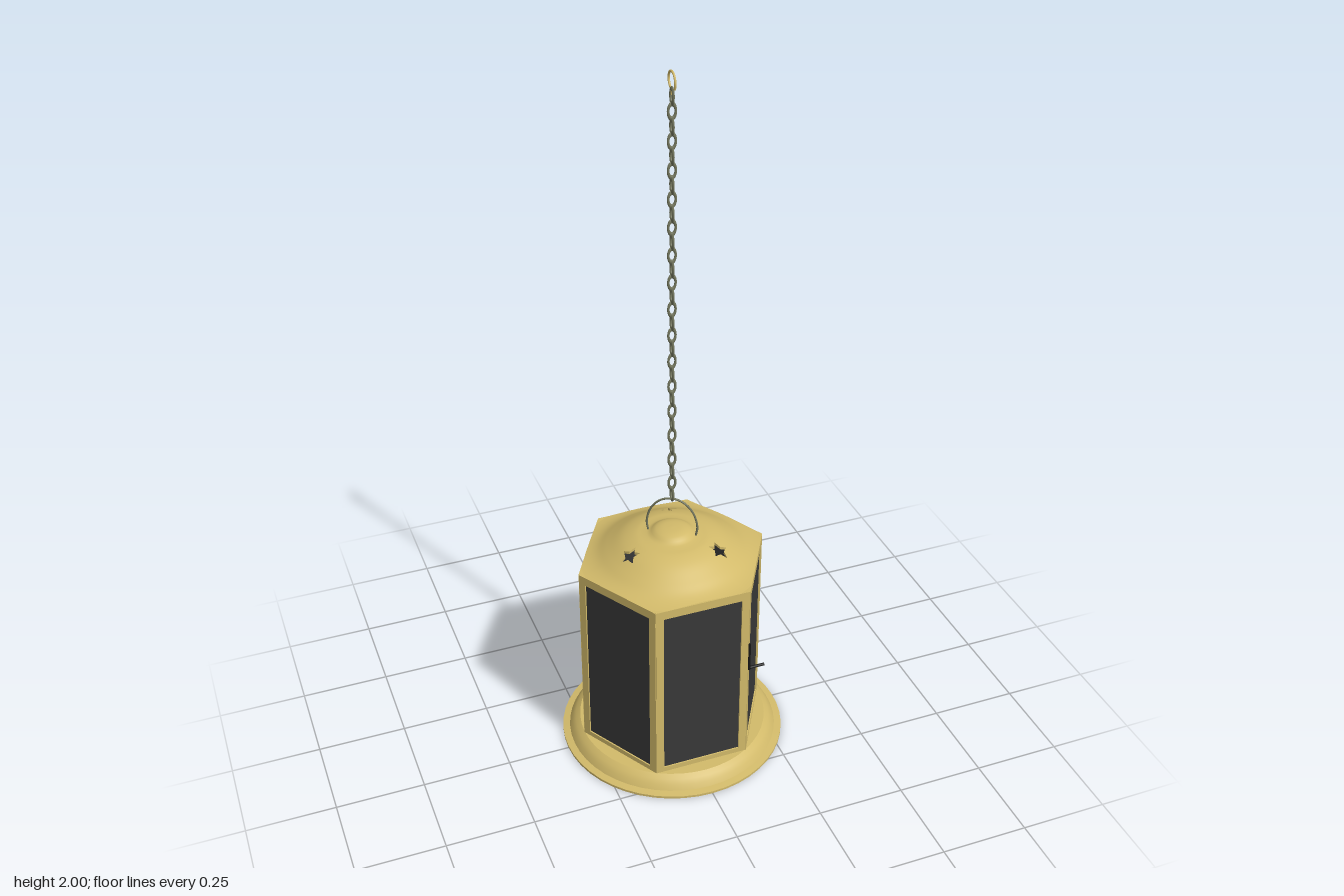
import * as THREE from 'three';
import { mergeGeometries, mergeVertices, toCreasedNormals } from 'three/addons/utils/BufferGeometryUtils.js';

const material = (name, color, side = THREE.FrontSide) => {
  const m = new THREE.MeshStandardMaterial({ color, side });
  m.name = name;
  return m;
};

const V2 = (x, y) => new THREE.Vector2(x, y);
const V3 = (x, y, z) => new THREE.Vector3(x, y, z);
const APOTHEM = 0.236, SIDE = 0.272, WALL_BOTTOM = 0.044, WALL_TOP = 0.612;

// Roof height for a given radius
const roofProfile = new THREE.SplineCurve([
  [0, 0.705], [0.03, 0.703], [0.05, 0.697], [0.062, 0.688], [0.08, 0.684], [0.105, 0.68], [0.14, 0.667],
  [0.18, 0.643], [0.21, 0.625], [0.24, 0.615], [0.275, 0.61],
].map((p) => V2(...p))).getPoints(100);

function roofHeight(r) {
  let i = 1;
  while (i < roofProfile.length - 1 && roofProfile[i].x < r) i++;
  const a = roofProfile[i - 1], b = roofProfile[i];
  return THREE.MathUtils.mapLinear(r, a.x, b.x, a.y, b.y);
}

// Round in the middle, spreading to a hexagon at the eaves
function roofPoint(theta, s, drop = 0) {
  let r = s;
  if (s > 0.18) {
    const sector = Math.PI / 3;
    const local = (((theta % sector) + sector) % sector) - sector / 2;
    r = 0.18 + ((s - 0.18) / 0.092) * (APOTHEM / Math.cos(local) - 0.18);
  }
  return V3(r * Math.cos(theta), roofHeight(r) - drop, r * Math.sin(theta));
}

// A grid over u, v in 0..1, placed by a rule
function patch(nu, nv, rule) {
  const g = new THREE.PlaneGeometry(1, 1, nu, nv);
  const p = g.attributes.position;
  for (let i = 0; i < p.count; i++) {
    const q = rule(p.getX(i) + 0.5, p.getY(i) + 0.5);
    p.setXYZ(i, q.x, q.y, q.z);
  }
  g.deleteAttribute('normal');
  g.deleteAttribute('uv');
  return g;
}

// Walks a closed polygon, u in 0..1
function walk(corners, u) {
  const n = corners.length, t = u * n, i = Math.min(Math.floor(t + 1e-6), n - 1);
  return corners[i].clone().lerp(corners[(i + 1) % n], t - i);
}

function roofGeometry() {
  const band = (t0, t1, s0, s1, nu, nv) => patch(nu, nv, (u, v) => roofPoint(t0 + u * (t1 - t0), s0 + v * (s1 - s0)));
  const parts = [band(0, Math.PI * 2, 0, 0.1, 120, 16), band(0, Math.PI * 2, 0.18, 0.272, 120, 10)];
  const walls = [];
  const half = Math.PI / 12;
  const square = [V2(-half, -0.04), V2(half, -0.04), V2(half, 0.04), V2(-half, 0.04)];
  const star = Array.from({ length: 10 }, (_, k) => {
    const a = -Math.PI * 0.75 + (k * Math.PI) / 5, r = k % 2 ? 0.0135 : 0.028;
    return V2((r * Math.cos(a)) / 0.14, r * Math.sin(a));
  });
  for (const degrees of [45, 165, 285]) {
    const c = THREE.MathUtils.degToRad(degrees);
    parts.push(band(c + half, c + Math.PI * 2 / 3 - half, 0.1, 0.18, 30, 10));
    // Surface around the star cut-out
    parts.push(patch(40, 5, (u, v) => {
      const q = walk(square, u).lerp(walk(star, u), v);
      return roofPoint(c + q.x, 0.14 + q.y);
    }));
    // Thickness of the cut-out edge
    walls.push(patch(40, 1, (u, v) => {
      const q = walk(star, u);
      return roofPoint(c + q.x, 0.14 + q.y, v * 0.008);
    }));
  }
  const shell = mergeVertices(mergeGeometries(parts), 1e-5);
  shell.computeVertexNormals();
  return [shell, toCreasedNormals(mergeGeometries(walls), 0.5)];
}

export function createModel() {
  const brass = material('brass', 0xd2ba6a, THREE.DoubleSide);
  const panelDark = material('dark panel', 0x393939, THREE.DoubleSide);
  const chainMetal = material('chain metal', 0x74775e);
  const black = material('black latch', 0x161616);

  const model = new THREE.Group();
  model.name = 'hangingLantern';
  const add = (name, geometry, mat, parent = model) => {
    const mesh = new THREE.Mesh(geometry, mat);
    mesh.name = name;
    parent.add(mesh);
    return mesh;
  };

  // Base tray, hollow underneath
  const baseProfile = [[0, 0.037], [0.268, 0.037], [0.292, 0.008], [0.3, 0.001], [0.322, 0], [0.322, 0.007],
    [0.302, 0.01], [0.294, 0.024], [0.284, 0.036], [0.271, 0.045], [0, 0.045]].map((p) => V2(...p));
  add('base', toCreasedNormals(new THREE.LatheGeometry(baseProfile, 48), 0.6), brass);
  add('baseScrew', new THREE.CylinderGeometry(0.01, 0.01, 0.008, 6), brass).position.y = 0.034;

  // Six framed walls
  const h = WALL_TOP - WALL_BOTTOM, w = SIDE / 2 - 0.001;
  const frameShape = new THREE.Shape([V2(-w, 0), V2(w, 0), V2(w, h), V2(-w, h)]);
  const px = 0.113, p0 = 0.016, p1 = h - 0.026;
  frameShape.holes.push(new THREE.Path([V2(-px, p0), V2(-px, p1), V2(px, p1), V2(px, p0)]));
  const frameGeo = new THREE.ExtrudeGeometry(frameShape, { depth: 0.012, bevelEnabled: false });
  const panelGeo = new THREE.BoxGeometry(px * 2 + 0.004, p1 - p0 + 0.004, 0.004);
  for (let i = 0; i < 6; i++) {
    const wall = new THREE.Group();
    wall.name = 'wall' + (i + 1);
    wall.rotation.y = (i * Math.PI) / 3;
    add('wallFrame', frameGeo, brass, wall).position.set(0, WALL_BOTTOM, APOTHEM - 0.012);
    add('wallPanel', panelGeo, panelDark, wall).position.set(0, WALL_BOTTOM + (p0 + p1) / 2, APOTHEM - 0.006);
    model.add(wall);
  }

  // Roof with three star cut-outs
  const [shell, starEdges] = roofGeometry();
  add('roof', shell, brass);
  add('starEdges', starEdges, brass);

  // Door latch
  const latch = new THREE.Group();
  latch.name = 'latch';
  add('latchBar', new THREE.BoxGeometry(0.006, 0.09, 0.006), black, latch).position.set(0.138, 0.387, 0.236);
  const handle = add('latchHandle', new THREE.CylinderGeometry(0.004, 0.004, 0.048, 8), black, latch);
  handle.rotation.z = Math.PI / 2;
  handle.position.set(0.161, 0.345, 0.233);
  model.add(latch);

  // Bail handle over the roof
  const bailPath = new THREE.CatmullRomCurve3([[-0.066, 0.68], [-0.071, 0.715], [-0.058, 0.76], [-0.032, 0.788], [0, 0.797],
    [0.032, 0.788], [0.058, 0.76], [0.071, 0.715], [0.066, 0.68]].map(([x, y]) => V3(x, y, 0)));
  add('bailHandle', new THREE.TubeGeometry(bailPath, 48, 0.003, 8), chainMetal).rotation.y = -Math.atan2(0.04, 0.06);

  // Chain of alternating links
  const linkGeo = new THREE.TorusGeometry(0.0098, 0.0034, 8, 20);
  linkGeo.scale(1, 1.85, 1);
  linkGeo.computeVertexNormals();
  const chain = new THREE.Group();
  chain.name = 'chain';
  for (let i = 0; i < 31; i++) {
    const link = add('chainLink', linkGeo, chainMetal, chain);
    link.position.y = 0.812 + i * 0.0375;
    link.rotation.y = i % 2 ? 0 : Math.PI / 2;
  }
  model.add(chain);

  // Top hook
  const hookPath = new THREE.CatmullRomCurve3([[0.019, 1.958], [0.022, 1.974], [0.015, 1.991], [0, 1.997],
    [-0.016, 1.991], [-0.022, 1.975], [-0.015, 1.96], [-0.003, 1.952], [0, 1.94]].map(([z, y]) => V3(0, y, z)));
  add('hook', new THREE.TubeGeometry(hookPath, 36, 0.003, 8), brass);

  return model;
}
